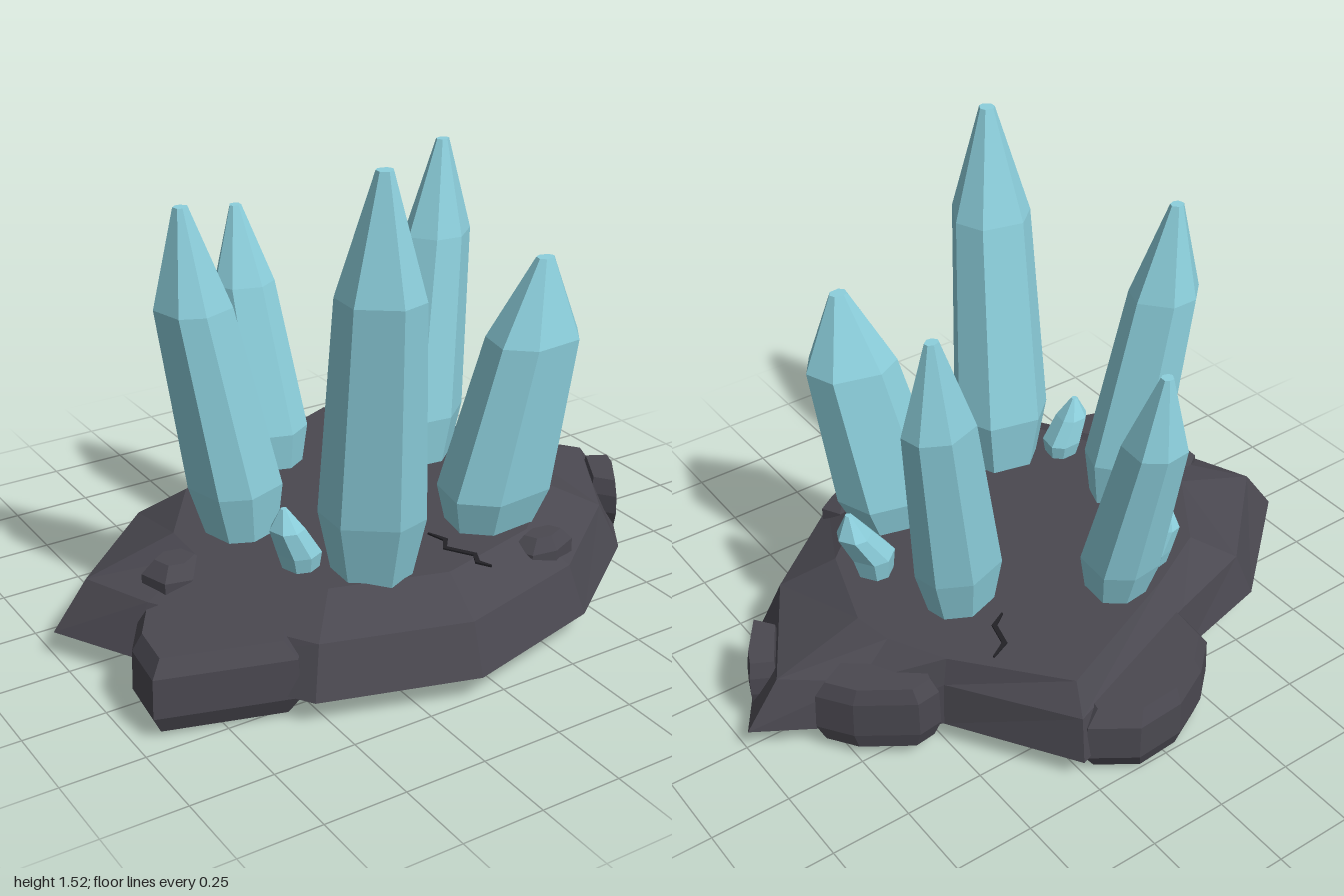
import * as THREE from 'three';

const rockMat = new THREE.MeshStandardMaterial({ color: 0x4a4850 });
rockMat.name = 'rock';
const crystalMat = new THREE.MeshStandardMaterial({ color: 0x8ccfdc });
crystalMat.name = 'crystal';
const crackMat = new THREE.MeshStandardMaterial({ color: 0x222126 });
crackMat.name = 'crack';

// Faceted solid through stacked rings of [x, y, z] points, capped at both ends.
function loft(name, rings, material) {
  const pos = [];
  const tri = (a, b, c) => pos.push(...a, ...b, ...c);
  const n = rings[0].length;
  const centre = ring => [0, 1, 2].map(k => ring.reduce((s, p) => s + p[k], 0) / n);
  const first = rings[0], last = rings[rings.length - 1];
  const c0 = centre(first), c1 = centre(last);
  for (let j = 0; j < n; j++) {
    const k = (j + 1) % n;
    for (let i = 0; i < rings.length - 1; i++) {
      const a = rings[i][j], b = rings[i][k], c = rings[i + 1][k], d = rings[i + 1][j];
      tri(a, d, b);
      tri(b, d, c);
    }
    tri(c0, first[j], first[k]);
    tri(c1, last[k], last[j]);
  }
  const geo = new THREE.BufferGeometry();
  geo.setAttribute('position', new THREE.Float32BufferAttribute(pos, 3));
  geo.computeVertexNormals();
  const mesh = new THREE.Mesh(geo, material);
  mesh.name = name;
  return mesh;
}

// Slightly uneven elliptical ring.
function ellipse(x, y, z, rx, rz, sides, turn) {
  return Array.from({ length: sides }, (_, j) => {
    const a = turn + (j + 0.13 * Math.sin(j * 2.3)) / sides * Math.PI * 2;
    return [x + Math.cos(a) * rx, y, z + Math.sin(a) * rz];
  });
}

// Boulder: an [x, z] outline, drawn in at the foot and bevelled at the top.
function boulder(name, outline, foot, top) {
  const middle = k => outline.reduce((s, p) => s + p[k], 0) / outline.length;
  const cx = middle(0), cz = middle(1);
  const ring = (y, s) => outline.map(([x, z]) => [cx + (x - cx) * s, y, cz + (z - cz) * s]);
  return loft(name, [ring(foot, 0.87), ring(foot + 0.055, 1), ring(top - 0.05, 0.98), ring(top, 0.83)], rockMat);
}

// Low stone set into the top of the slab.
function stone(name, x, z, rx, rz) {
  const ring = (y, s) => ellipse(x, y, z, rx * s, rz * s, 6, 0.3);
  return loft(name, [ring(0.22, 1), ring(0.28, 1), ring(0.322, 0.6)], rockMat);
}

// Leaning crystal: widens to a lower girdle, narrows to an upper one, then to a blunt tip.
function crystal(name, [x0, z0], [x1, y1, z1], rx, rz, lowGirdle, turn) {
  const y0 = 0.28;
  const ring = (rise, lean, s) => ellipse(
    x0 + (x1 - x0) * lean, y0 + (y1 - y0) * rise, z0 + (z1 - z0) * lean, rx * s, rz * s, 7, turn);
  return loft(name, [ring(0, 0, 0.74), ring(lowGirdle, 0.12, 1.03), ring(0.72, 0.82, 0.83), ring(1, 1, 0.16)], crystalMat);
}

// Crack: a thin flat ribbon through [x, z] points, tapering at both ends.
function crack(name, points) {
  const left = [], right = [];
  points.forEach(([x, z], i) => {
    const a = points[Math.max(i - 1, 0)], b = points[Math.min(i + 1, points.length - 1)];
    const dx = b[0] - a[0], dz = b[1] - a[1], len = Math.hypot(dx, dz);
    const w = i === 0 || i === points.length - 1 ? 0.003 : 0.008;
    left.push(new THREE.Vector2(x + dz / len * w, -(z - dx / len * w)));
    right.unshift(new THREE.Vector2(x - dz / len * w, -(z + dx / len * w)));
  });
  const geo = new THREE.ExtrudeGeometry(new THREE.Shape([...left, ...right]), { depth: 0.006, bevelEnabled: false });
  geo.rotateX(-Math.PI / 2);
  const mesh = new THREE.Mesh(geo, crackMat);
  mesh.name = name;
  mesh.position.y = 0.314;
  return mesh;
}

export function createModel() {
  const model = new THREE.Group();
  model.name = 'crystalCluster';

  // Main slab: each corner is x, z and how far the top edge is drawn in there
  const slab = [
    [-1, -0.1, 0.38], [-0.63, -0.42, 0.28], [-0.3, -0.5, 0.18], [0.27, -0.7, 0.13],
    [0.51, -0.33, 0.05], [0.74, -0.18, 0.22], [1, -0.02, 0.4], [0.73, 0.38, 0.3],
    [0.37, 0.65, 0.26], [-0.09, 0.77, 0.26], [-0.55, 0.63, 0.26], [-0.87, 0.14, 0.28],
  ];
  const tier = (y, scale) => slab.map(([x, z, inset]) => [x * scale(inset), y, z * scale(inset)]);
  model.add(loft('rockBase', [
    tier(0, () => 0.75), tier(0.08, () => 1), tier(0.23, k => 1 - 0.28 * k), tier(0.315, k => 1 - k),
  ], rockMat));

  // Boulders leaning on the slab
  model.add(
    boulder('backBoulder', [[-0.3, -0.42], [-0.28, -0.6], [-0.18, -0.69], [-0.04, -0.76], [0.12, -0.77], [0.25, -0.68], [0.2, -0.4]], 0.015, 0.235),
    boulder('leftBoulder', [[-0.95, 0.45], [-0.93, 0.28], [-0.85, 0.15], [-0.68, 0.13], [-0.45, 0.4], [-0.56, 0.57]], 0.015, 0.24),
    boulder('rightBoulder', [[0.48, -0.2], [0.52, -0.33], [0.6, -0.34], [0.76, -0.23], [0.83, -0.13], [0.66, -0.04]], 0.04, 0.265),
    boulder('rightLedge', [[0.76, 0.2], [0.86, 0.03], [0.935, 0.07], [0.91, 0.13], [0.81, 0.27]], 0.07, 0.235),
    stone('leftStone', -0.69, 0.085, 0.1, 0.08),
    stone('frontStone', 0.295, 0.53, 0.105, 0.055),
  );

  // Cracks in the top
  model.add(
    crack('frontCrack', [[0.01, 0.35], [0.03, 0.41], [0, 0.45], [0.05, 0.53], [0.03, 0.57], [0.05, 0.61]]),
    crack('backCrack', [[0.37, -0.39], [0.31, -0.36], [0.29, -0.28], [0.24, -0.25]]),
  );

  // Large crystals, then the small ones at their feet
  model.add(
    crystal('tallCrystal', [-0.23, 0.42], [-0.28, 1.52, 0.55], 0.155, 0.155, 0.18, 0),
    crystal('leftCrystal', [-0.43, 0.02], [-0.585, 1.33, 0], 0.14, 0.125, 0.18, 0.7),
    crystal('backCrystal', [-0.12, -0.34], [-0.155, 1.14, -0.485], 0.122, 0.115, 0.18, 1.4),
    crystal('rightCrystal', [0.3, -0.12], [0.43, 1.33, -0.205], 0.137, 0.11, 0.18, 2.1),
    crystal('frontCrystal', [0.225, 0.355], [0.345, 1.14, 0.43], 0.18, 0.145, 0.17, 2.8),
    crystal('smallRightCrystal', [0.435, 0.145], [0.515, 0.56, 0.155], 0.068, 0.065, 0.38, 3.5),
    crystal('smallLeftCrystal', [-0.4, 0.31], [-0.455, 0.51, 0.31], 0.064, 0.06, 0.36, 4.2),
    crystal('smallBackCrystal', [-0.285, -0.31], [-0.33, 0.51, -0.33], 0.056, 0.055, 0.36, 4.9),
  );

  return model;
}
